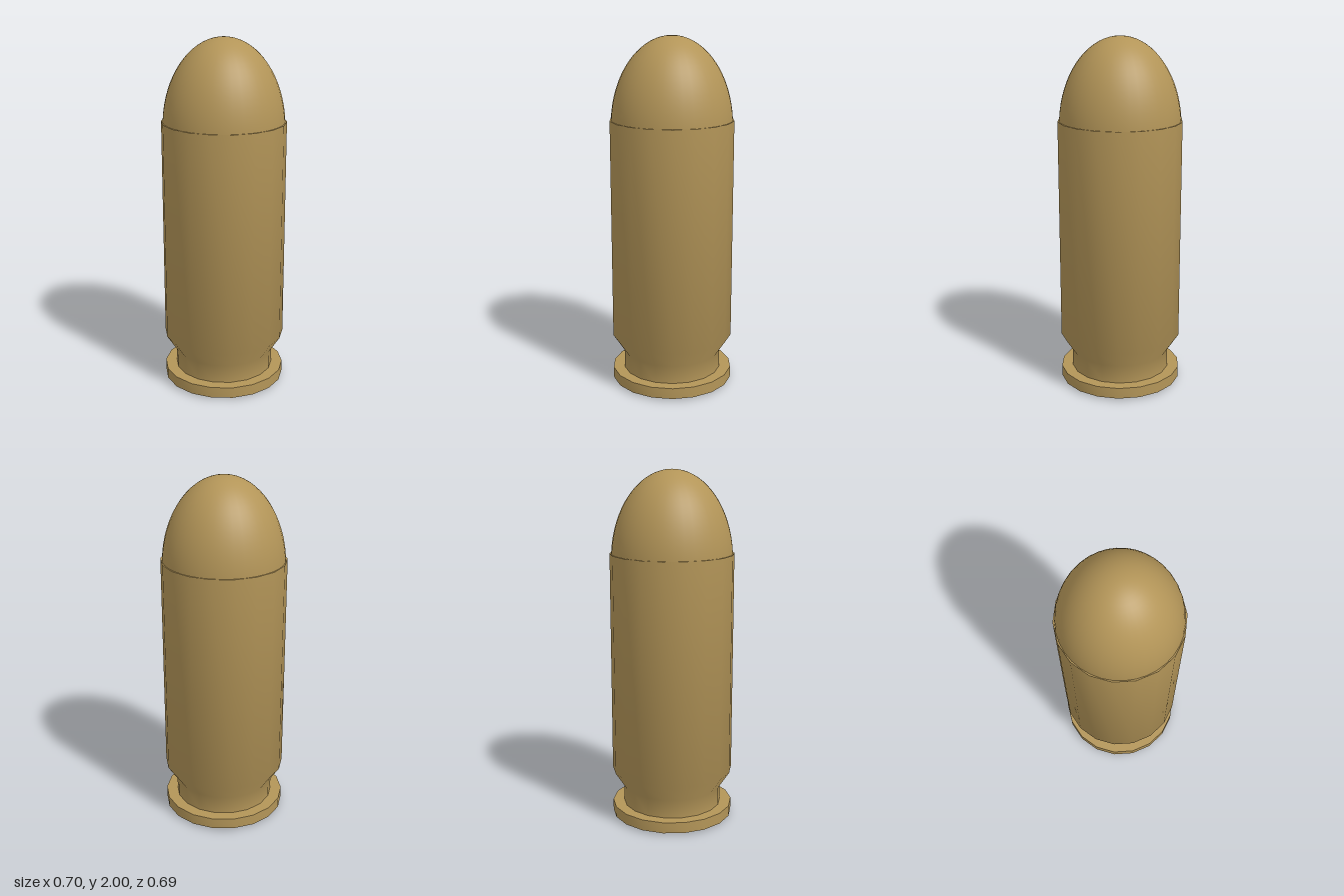
import * as THREE from 'three';
import { toCreasedNormals } from 'three/addons/utils/BufferGeometryUtils.js';

const SIDES = 18;

// Turned part from [radius, height] pairs listed bottom to top, with sharp rims
function turned(name, profile, sides, material) {
  const points = profile.map(([r, y]) => new THREE.Vector2(r, y));
  const lathe = new THREE.LatheGeometry(points, sides, Math.PI / SIDES);
  const mesh = new THREE.Mesh(toCreasedNormals(lathe, 0.8), material);
  mesh.name = name;
  return mesh;
}

export function createModel() {
  const brass = new THREE.MeshStandardMaterial({ color: 0xb39558 });
  brass.name = 'brass';
  const red = new THREE.MeshStandardMaterial({ color: 0xa30a10 });
  red.name = 'primer red';
  const black = new THREE.MeshStandardMaterial({ color: 0x26282a });
  black.name = 'pin black';

  const model = new THREE.Group();
  model.name = 'cartridge';

  // Casing: rim, extraction groove, shoulder, straight wall and mouth
  model.add(turned('casing', [
    [0, 0.012], [0.348, 0.012], [0.348, 0.075], [0.283, 0.075],
    [0.283, 0.18], [0.348, 0.28], [0.348, 1.54], [0.3, 1.54],
  ], SIDES, brass));

  // Rounded tip: upper half of a stretched sphere seated in the mouth
  const dome = new THREE.SphereGeometry(0.34, 36, 18, 0, Math.PI * 2, 0, Math.PI / 2);
  dome.scale(1, 0.5 / 0.34, 1);
  const tip = new THREE.Mesh(dome, brass);
  tip.name = 'bulletTip';
  tip.position.y = 1.5;
  model.add(tip);

  // Primer cap and its dark centre, seen from below
  model.add(turned('primer', [[0, 0.003], [0.15, 0.003], [0.174, 0.013]], 32, red));
  model.add(turned('primerCentre', [[0, 0], [0.088, 0], [0.088, 0.004]], 32, black));

  return model;
}
